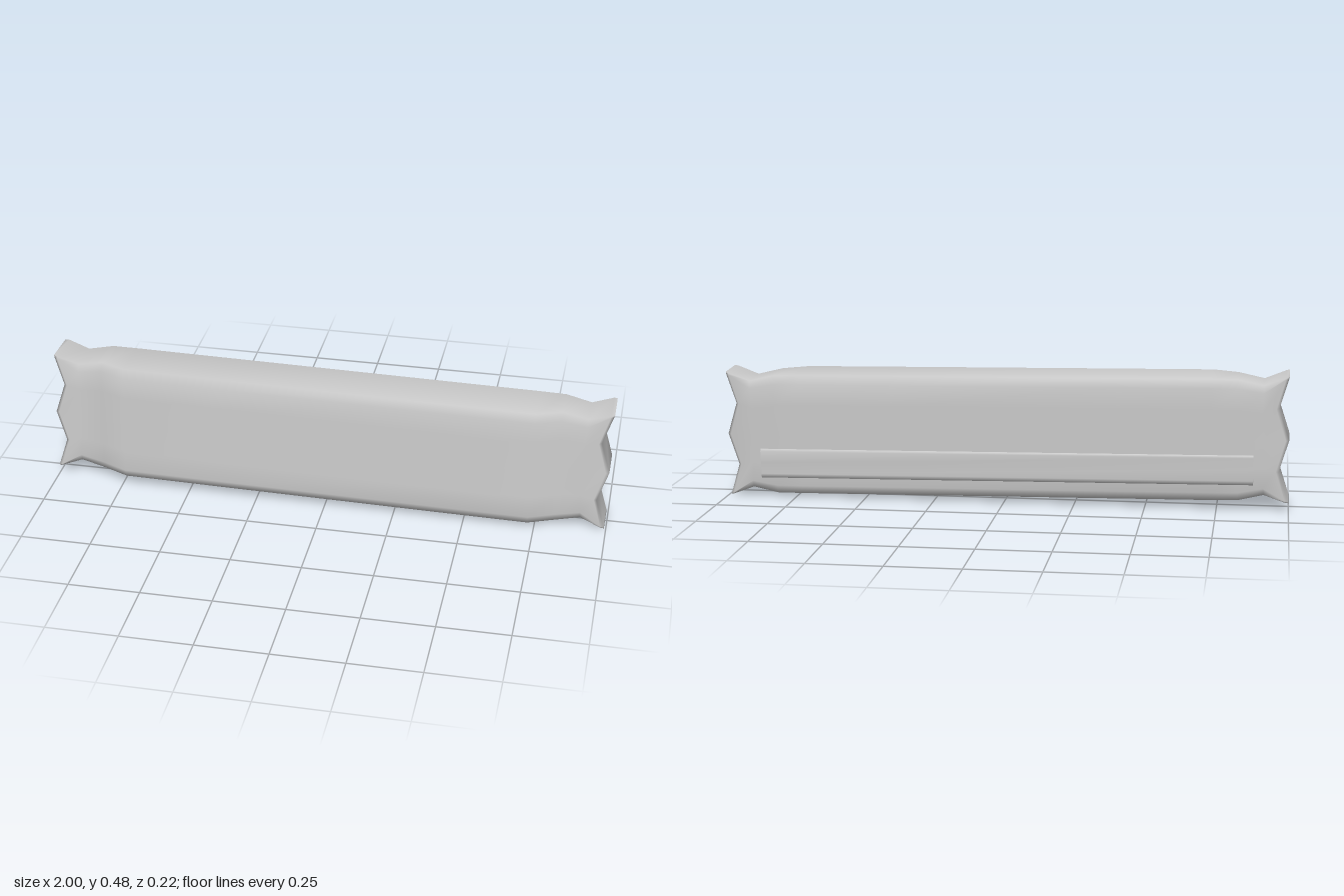
import * as THREE from 'three';

const material = new THREE.MeshStandardMaterial({ color: 0xcccccc, side: THREE.DoubleSide });

// Skin a list of rings (each a loop of [x, y, z]) and close both ends with rows of ring-index pairs.
function loft(name, rings, capRows) {
  const n = rings[0].length, last = (rings.length - 1) * n, index = [];
  const quad = (a, b, c, d) => index.push(a, b, c, a, c, d);
  for (let i = 0; i < rings.length - 1; i++) {
    for (let j = 0; j < n; j++) {
      const k = (j + 1) % n;
      quad(i * n + j, (i + 1) * n + j, (i + 1) * n + k, i * n + k);
    }
  }
  for (let r = 0; r < capRows.length - 1; r++) {
    const [f0, b0] = capRows[r], [f1, b1] = capRows[r + 1];
    quad(last + f0, last + b0, last + b1, last + f1);
    quad(f0, f1, b1, b0);
  }
  const geometry = new THREE.BufferGeometry();
  geometry.setAttribute('position', new THREE.Float32BufferAttribute(rings.flat(2), 3));
  geometry.setIndex(index);
  geometry.computeVertexNormals();
  const mesh = new THREE.Mesh(geometry, material);
  mesh.name = name;
  return mesh;
}

// One cross-section of the wrapper: a rectangle with chamfered corners.
function wrapperRing(side, { x, h, front, back, cy, cz, zigzag }) {
  const top = h - cy;
  const column = [-top, -0.5 * h, 0, 0.5 * h, top];
  const points = [
    ...column.map((y) => [y, front]),
    [h, front - cz], [h, back + cz],
    ...column.slice().reverse().map((y) => [y, back]),
    [-h, back + cz], [-h, front - cz],
  ];
  // crimped ends dip inwards halfway between the middle and each corner
  return points.map(([y, z]) => {
    const dip = zigzag * (1 - Math.abs((2 * Math.abs(y)) / h - 1));
    return [side * (x - dip), y, z];
  });
}

export function createModel() {
  const model = new THREE.Group();
  model.name = 'wrappedBar';

  // Half of the wrapper from the middle outwards; mirrored for the other half
  const stations = [
    { x: 0.40, h: 0.215, front: 0.106, back: -0.103, cy: 0.030, cz: 0.015, zigzag: 0 },
    { x: 0.73, h: 0.215, front: 0.105, back: -0.103, cy: 0.030, cz: 0.015, zigzag: 0 },
    { x: 0.82, h: 0.214, front: 0.066, back: -0.103, cy: 0.030, cz: 0.015, zigzag: 0 },
    { x: 0.91, h: 0.194, front: 0.058, back: -0.098, cy: 0.025, cz: 0.012, zigzag: 0.005 },
    { x: 0.985, h: 0.221, front: 0.061, back: -0.091, cy: 0.006, cz: 0.004, zigzag: 0.033 },
    { x: 0.997, h: 0.225, front: 0.056, back: -0.080, cy: 0.006, cz: 0.004, zigzag: 0.035 },
  ];
  const rings = [
    ...stations.slice().reverse().map((s) => wrapperRing(-1, s)),
    ...stations.map((s) => wrapperRing(1, s)),
  ];
  model.add(loft('wrapper', rings, [[13, 12], [0, 11], [1, 10], [2, 9], [3, 8], [4, 7], [5, 6]]));

  // Folded seam running along the back
  const seam = [
    [-0.155, -0.087], [-0.05, -0.087], [-0.05, -0.105], [-0.058, -0.111],
    [-0.1, -0.107], [-0.14, -0.109], [-0.155, -0.105],
  ];
  const seamRings = [-0.875, 0.875].map((x) => seam.map(([y, z]) => [x, y, z]));
  model.add(loft('backSeam', seamRings, [[0, 6], [0, 5], [0, 4], [1, 3], [1, 2]]));

  // The bar rests slightly tilted
  model.children.forEach((part) => {
    part.rotation.set(-0.037, 0, -0.0135);
    part.position.y = 0.242;
  });
  return model;
}
